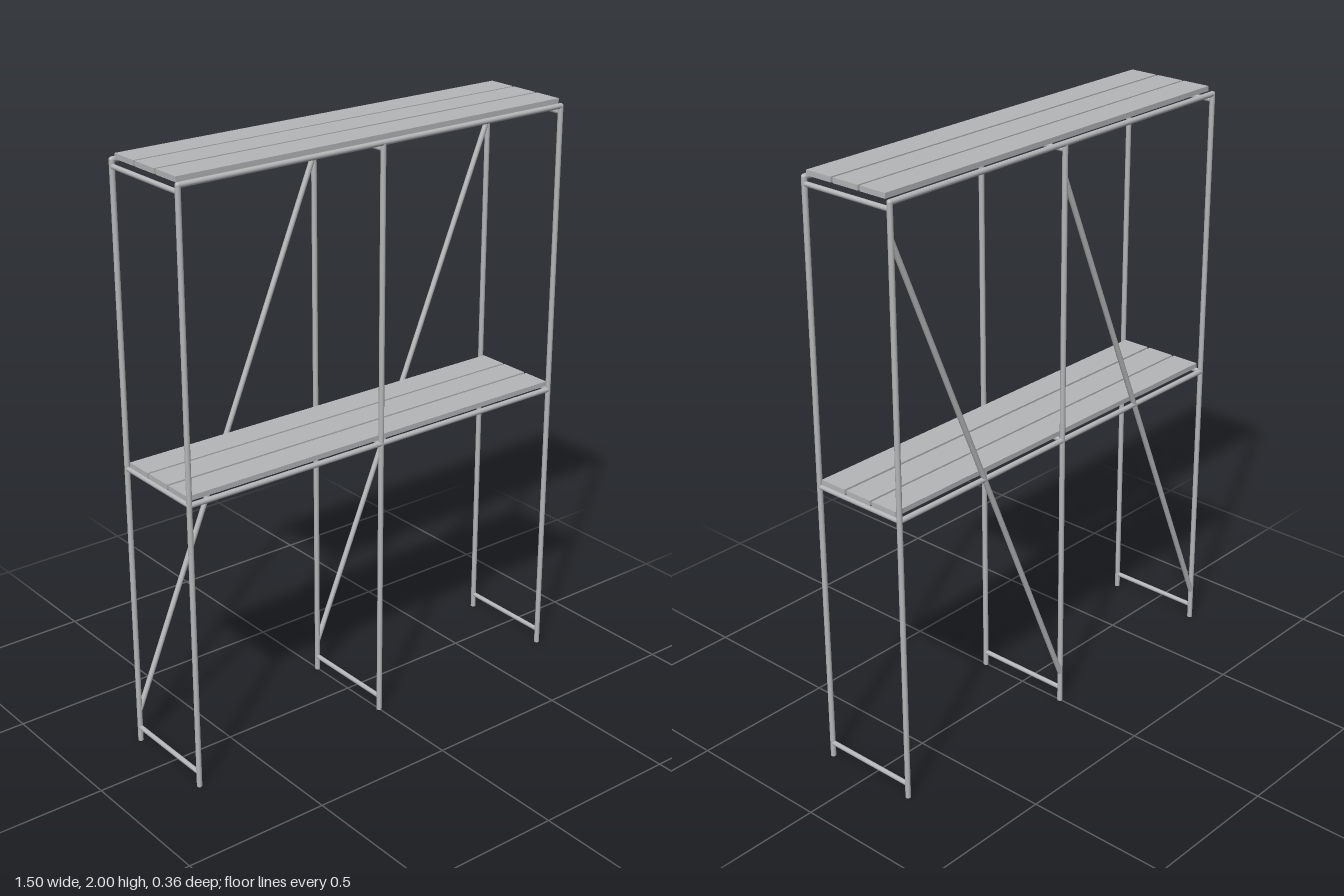
import * as THREE from 'three';

const RADIUS = 0.009;
const POST_X = [-0.74, 0, 0.74];
const POST_Z = 0.172;
const RAIL_TOP = 1.977;
const RAIL_MID = 0.99;

export function createModel() {
  const model = new THREE.Group();
  model.name = 'shelfRack';
  const steel = new THREE.MeshStandardMaterial({ color: 0xb4b6b8 });
  steel.name = 'grey steel';

  // Round tube between two points
  function tube(name, from, to, radius = RADIUS) {
    const a = new THREE.Vector3(...from);
    const b = new THREE.Vector3(...to);
    const dir = b.clone().sub(a);
    const mesh = new THREE.Mesh(new THREE.CylinderGeometry(radius, radius, dir.length(), 16), steel);
    mesh.name = name;
    mesh.position.copy(a).add(b).multiplyScalar(0.5);
    mesh.quaternion.setFromUnitVectors(new THREE.Vector3(0, 1, 0), dir.normalize());
    model.add(mesh);
  }

  // Upright frames: two posts joined by three cross bars
  for (const x of POST_X) {
    for (const z of [-POST_Z, POST_Z]) tube('post', [x, 0, z], [x, RAIL_TOP, z]);
    for (const y of [0.05, RAIL_MID, 1.957]) {
      tube('crossBar', [x, y, -POST_Z], [x, y, POST_Z], 0.008);
    }
  }

  // Long rails at both levels, with rounded corners at the top
  for (const z of [-POST_Z, POST_Z]) {
    for (const y of [RAIL_MID, RAIL_TOP]) tube('rail', [-0.74, y, z], [0.74, y, z]);
    for (const x of [-0.74, 0.74]) {
      const corner = new THREE.Mesh(new THREE.SphereGeometry(RADIUS, 16, 10), steel);
      corner.name = 'railCorner';
      corner.position.set(x, RAIL_TOP, z);
      model.add(corner);
    }
  }

  // Diagonal braces across the two back bays
  for (const x of [-0.74, 0]) {
    tube('brace', [x, 0.11, -POST_Z], [x + 0.74, 1.87, -POST_Z]);
  }

  // Three planks on each shelf
  const plankGeometry = new THREE.BoxGeometry(1.48, 0.017, 0.1);
  for (const y of [1.0075, 1.9915]) {
    for (const z of [-0.105, 0.003, 0.112]) {
      const plank = new THREE.Mesh(plankGeometry, steel);
      plank.name = 'plank';
      plank.position.set(0, y, z);
      model.add(plank);
    }
  }

  return model;
}
